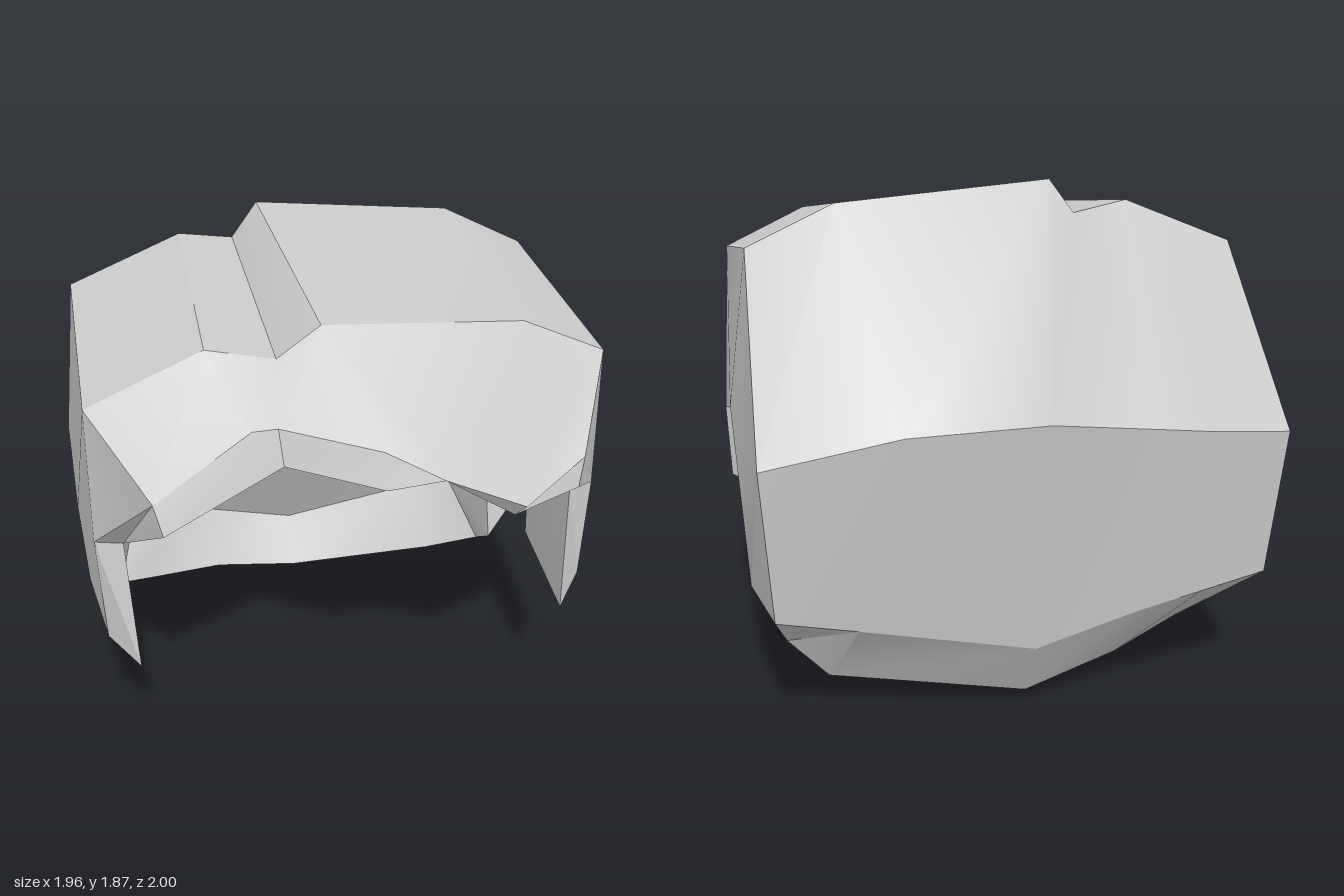
import * as THREE from 'three';
import { mergeGeometries, toCreasedNormals } from 'three/addons/utils/BufferGeometryUtils.js';

export function createModel() {
  let positions = [];
  const sections = [];

  // Adds a convex polygon as a triangle fan, skipping collapsed triangles.
  const face = (...p) => {
    for (let i = 1; i < p.length - 1; i++) {
      if (p[0] === p[i] || p[i] === p[i + 1] || p[0] === p[i + 1]) continue;
      positions.push(...p[0], ...p[i], ...p[i + 1]);
    }
  };
  const strip = (a, b) => {
    for (let i = 0; i < a.length - 1; i++) face(a[i], a[i + 1], b[i + 1], b[i]);
  };
  const pick = (row, ...ids) => ids.map((i) => row[i]);

  // Closes the faces gathered so far into one section with its own crease angle.
  const section = (crease) => {
    const geometry = new THREE.BufferGeometry();
    geometry.setAttribute('position', new THREE.Float32BufferAttribute(positions, 3));
    sections.push(toCreasedNormals(geometry, crease));
    positions = [];
  };

  // Rows run from -x to +x.
  const fringeTop = [[-0.735, 1.32, 0.84], [-0.4, 1.52, 0.79], [-0.31, 1.51, 0.77], [0, 1.48, 0.94],
    [0.19, 1.385, 1], [0.48, 1.24, 0.99], [0.735, 1.32, 0.85]];
  const fringeLow = [[-0.71, 1.22, 0.88], [-0.3, 1.39, 0.81], [0, 1.36, 0.98],
    fringeTop[4], [0.46, 1.18, 0.94], [0.71, 1.22, 0.88]];
  const crownFront = [[-0.92, 1.52, 0.52], [-0.51, 1.7, 0.53], [-0.27, 1.645, 0.535],
    [-0.12, 1.76, 0.55], [0.6, 1.7, 0.535], [0.92, 1.55, 0.52]];
  const crownBack = [[-0.91, 1.62, -0.34], [-0.48, 1.785, -0.36], [-0.27, 1.745, -0.385],
    [-0.165, 1.87, -0.415], [0.6, 1.8, -0.38], [0.91, 1.65, -0.34]];
  const backRidge = [[-0.94, 1, -0.85], [-0.6, 1.04, -0.905], [-0.4, 1.07, -0.935],
    [0, 1.13, -1], [0.48, 1.11, -0.96], [0.94, 1, -0.85]];
  const nape = [[-0.9, 0.45, -0.8], [-0.64, 0.41, -0.825], [-0.38, 0.37, -0.85],
    [0, 0.27, -0.85], [0.62, 0.395, -0.815], [0.9, 0.45, -0.8]];
  const hemOuter = [[-0.84, 0.26, -0.54], [-0.65, 0.21, -0.59], [-0.37, 0.13, -0.67],
    [0, 0.05, -0.73], [0.7, 0.14, -0.61], [0.84, 0.26, -0.54]];
  const hemInner = [[-0.83, 0.19, -0.34], [-0.67, 0.12, -0.45], [-0.37, 0.09, -0.52],
    [0, 0, -0.58], [0.63, 0.07, -0.48], [0.83, 0.19, -0.34]];
  const liningLow = [[-0.74, 0.41, -0.55], [-0.55, 0.37, -0.6], [-0.37, 0.32, -0.65],
    [0, 0.2, -0.7], [0.55, 0.355, -0.6], [0.74, 0.41, -0.55]];

  // Side edge around the lock and the ear notch: outer and inner outlines.
  const outer = [[0.93, 1.01, 0.54], [0.915, 0.6, 0.55], [0.96, 0.65, 0.25], [0.975, 0.95, 0.2],
    [0.98, 1.06, -0.23], [0.975, 0.87, -0.41], [0.94, 0.37, -0.27]];
  const inner = [[0.83, 1.01, 0.57], [0.81, 0.52, 0.65], [0.83, 0.58, 0.21], [0.83, 0.9, 0.17],
    [0.83, 1, -0.21], [0.83, 0.82, -0.36], [0.83, 0.295, -0.19]];
  const mirror = (pts) => pts.map(([x, y, z]) => [-x, y, z]);
  const outerL = mirror(outer), innerL = mirror(inner);
  const across = (k, ...sides) => sides.map((s) => (s ? inner[k] : innerL[k]));

  // Fringe edge, then the soft panel above it.
  strip(pick(fringeLow, 0, 1, 1, 2, 3, 4, 5), fringeTop);
  section(0.45);
  strip(fringeTop, pick(crownFront, 0, 1, 2, 3, 3, 4, 5));
  section(1);

  // Crown with its parting step.
  strip(crownFront, crownBack);
  section(0.45);

  // Back of the head, nape and rolled hem.
  strip(crownBack, backRidge);
  section(1.2);
  strip(backRidge, nape);
  section(1);
  strip(nape, hemOuter);
  section(0.6);
  strip(hemOuter, hemInner);
  section(0.8);
  strip(hemInner, liningLow);
  section(1);

  // Lining: back wall, step behind the ears and shallow ceiling up to the fringe.
  strip(liningLow, across(5, 0, 0, 0, 1, 1, 1));
  section(0.8);
  strip(across(5, 0, 1), across(4, 0, 1));
  strip(across(4, 0, 0, 1, 1, 1, 1, 1), pick(fringeLow, 0, 1, 1, 2, 3, 4, 5));
  section(0.3);

  // Sides: outer panel, rim thickness and inner panel.
  for (const right of [true, false]) {
    const end = (row) => (right ? row[row.length - 1] : row[0]);
    const add = (...p) => face(...(right ? p : p.reverse()));
    const [A, B, C, D, E, F, G] = right ? outer : outerL;
    const [a, b, c, d, e, f, g] = right ? inner : innerL;
    const [front, fringe, top, back, ridge, low, hem, tip, lining] =
      [fringeTop, fringeLow, crownFront, crownBack, backRidge, nape, hemOuter, hemInner, liningLow].map(end);

    add(front, A, top);
    add(A, B, C, D);
    add(top, A, D);
    add(top, D, E, back);
    add(back, E, F);
    add(back, F, ridge);
    add(ridge, F, G, low);
    add(low, G, hem);
    add(G, tip, hem);

    const o = [A, B, C, D, E, F, G], n = [a, b, c, d, e, f, g];
    for (let i = 0; i < 6; i++) add(o[i + 1], o[i], n[i], n[i + 1]);
    add(A, front, fringe, a);
    add(tip, G, g);

    add(d, c, b, a);
    add(e, d, a);
    add(e, a, fringe);
    add(g, f, lining);
    add(tip, g, lining);
  }
  section(0.4);

  const hair = new THREE.Mesh(
    mergeGeometries(sections),
    new THREE.MeshStandardMaterial({ color: 0xcccccc })
  );
  hair.name = 'hair';

  const group = new THREE.Group();
  group.name = 'hairShell';
  group.add(hair);
  return group;
}
